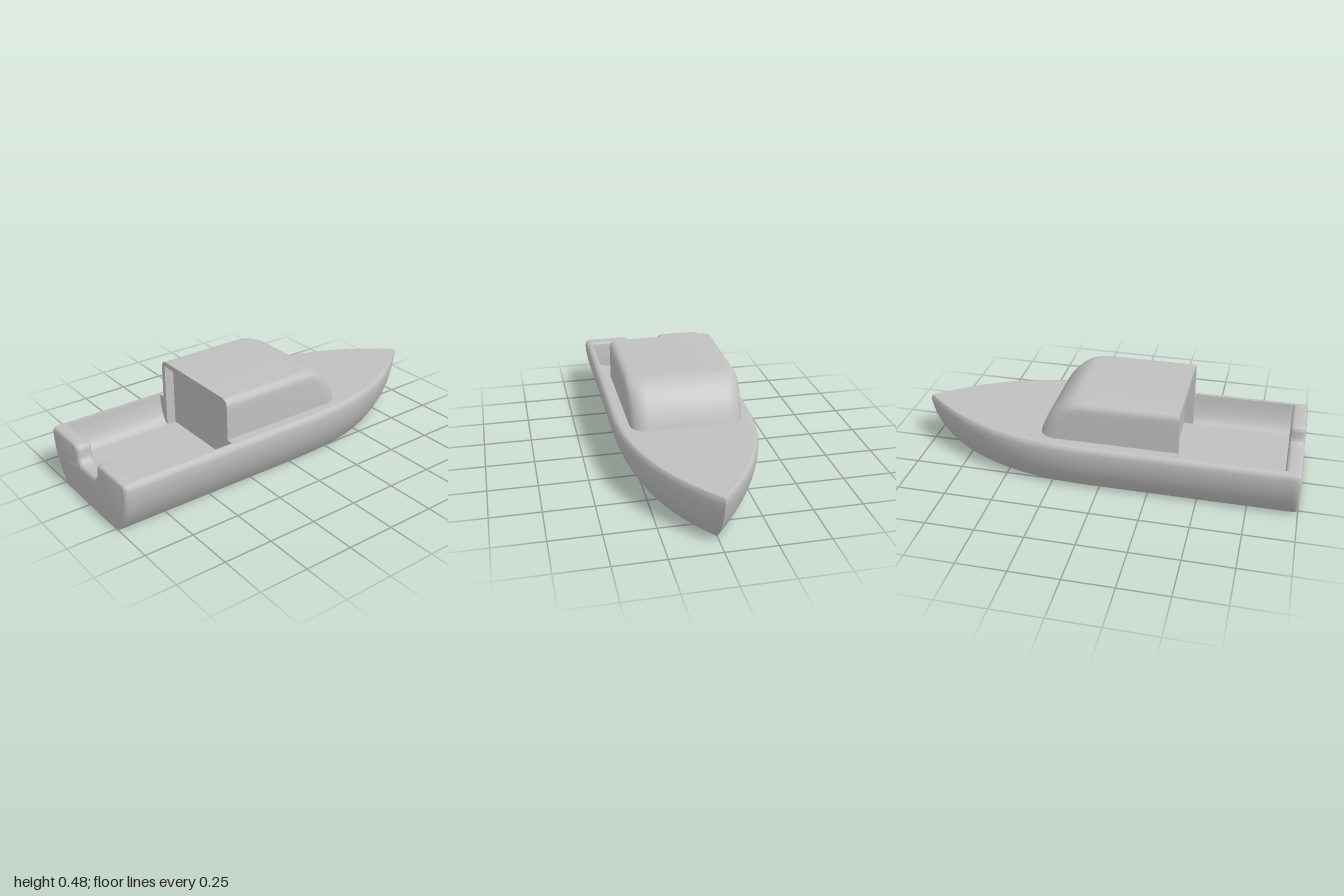
import * as THREE from 'three';
import { toCreasedNormals } from 'three/addons/utils/BufferGeometryUtils.js';

const grey = new THREE.MeshStandardMaterial({ color: 0xc0c0c0, side: THREE.DoubleSide });
grey.name = 'hullGrey';

// Hull levels: height, half width, distance of the stem from the centre
const LEVELS = [
  [0, 0.265, 0.87], [0.02, 0.28, 0.89], [0.05, 0.3, 0.915], [0.1, 0.327, 0.95],
  [0.15, 0.344, 0.975], [0.2, 0.353, 0.99], [0.24, 0.355, 1],
  [0.258, 0.351, 0.997], [0.268, 0.342, 0.992], [0.271, 0.33, 0.985],
];
const STERN = 0.97, FLOOR = 0.12, RIM = 0.32, DOOR = 0.26, BACK = 0.4, BULKHEAD = 0.35;

// Skin through rows of [x, y, z] points
function loft(rows) {
  const n = rows[0].length, index = [];
  for (let j = 0; j < rows.length - 1; j++) {
    for (let i = 0; i < n - 1; i++) {
      const a = j * n + i, b = a + 1, c = b + n, d = a + n;
      index.push(a, b, c, a, c, d);
    }
  }
  const g = new THREE.BufferGeometry();
  g.setAttribute('position', new THREE.Float32BufferAttribute(rows.flat(2), 3));
  g.setIndex(index);
  return toCreasedNormals(g, 0.6);
}

// Waterline from the left stern round the bow to the right stern
function waterline([y, w, l]) {
  const pts = [], n = 36;
  for (let i = -n; i <= n; i++) {
    const z = -l + (l + STERN) * Math.pow(Math.abs(i) / n, 1.3);
    const x = w * (1 - Math.pow(Math.max(0, -z / l), 2.6));
    pts.push([-Math.sign(i) * x, y, z]);
  }
  return pts;
}

// Cabin outline at one height, with round front corners
function cabinOutline([y, w, front]) {
  const pts = [[w, y, BACK]], r = 0.085;
  for (const side of [1, -1]) {
    for (let k = 0; k <= 8; k++) {
      const a = (side > 0 ? k : 8 - k) / 8 * Math.PI / 2;
      pts.push([side * (w - r + r * Math.cos(a)), y, front + r - r * Math.sin(a)]);
    }
  }
  pts.push([-w, y, BACK]);
  return pts;
}

// Row squeezed onto the centre line, closing a skin
const spine = (row) => row.map(([, y, z]) => [0, y, z]);

function shapeOf(points) {
  return new THREE.Shape(points.map(([x, y]) => new THREE.Vector2(x, y)));
}

export function createModel() {
  const boat = new THREE.Group();
  boat.name = 'boat';
  const add = (name, geometry) => {
    const m = new THREE.Mesh(geometry, grey);
    m.name = name;
    boat.add(m);
    return m;
  };

  // Hull with flat bottom and rounded gunwale
  const hullRows = LEVELS.map(waterline);
  add('hull', loft([spine(hullRows[0]), ...hullRows]));

  // Deck, open over the cockpit
  const top = hullRows[hullRows.length - 1];
  const opening = [[-RIM, STERN], [-RIM, BACK], [-DOOR, BACK], [-DOOR, BULKHEAD],
    [DOOR, BULKHEAD], [DOOR, BACK], [RIM, BACK], [RIM, STERN]];
  const deck = new THREE.ShapeGeometry(shapeOf(
    [...top.map(([x, , z]) => [x, -z]), ...opening.map(([x, z]) => [x, -z])]));
  deck.rotateX(-Math.PI / 2);
  add('deck', deck).position.y = 0.271;

  // Transom with a rounded notch and soft edges
  const b = 0.02;
  const side = LEVELS.slice(1).map(([y, w]) => [w, y]);
  const transom = shapeOf([[0.265, -b], ...side]);
  transom.lineTo(0.125, 0.271);
  transom.quadraticCurveTo(0.092, 0.271, 0.09, 0.236);
  transom.lineTo(0.088, 0.215);
  transom.quadraticCurveTo(0.082, 0.18, 0.05, 0.18);
  transom.lineTo(-0.05, 0.18);
  transom.quadraticCurveTo(-0.082, 0.18, -0.088, 0.215);
  transom.lineTo(-0.09, 0.236);
  transom.quadraticCurveTo(-0.092, 0.271, -0.125, 0.271);
  side.reverse().forEach(([x, y]) => transom.lineTo(-x, y));
  transom.lineTo(-0.265, -b);
  const transomGeo = new THREE.ExtrudeGeometry(transom, {
    depth: 0.04, bevelSize: b, bevelOffset: -b, bevelThickness: b, bevelSegments: 4, curveSegments: 8,
  });
  const p = transomGeo.attributes.position;
  for (let i = 0; i < p.count; i++) p.setY(i, Math.max(0, p.getY(i)));
  add('transom', toCreasedNormals(transomGeo, 0.6)).position.z = 0.94;

  // Cockpit floor and curved side walls
  const floor = new THREE.PlaneGeometry(0.58, 0.93 - BULKHEAD).rotateX(-Math.PI / 2);
  add('cockpitFloor', floor).position.set(0, FLOOR, (0.93 + BULKHEAD) / 2);
  const wall = [[0.255, 0.121], [0.272, 0.126], [0.287, 0.142], [0.302, 0.175], [0.314, 0.22], [RIM, 0.271]];
  for (const s of [1, -1]) {
    const ends = s > 0 ? [BACK, 0.935] : [0.935, BACK];
    add(s > 0 ? 'leftCockpitWall' : 'rightCockpitWall',
      loft(wall.map(([x, y]) => ends.map((z) => [s * x, y, z]))));
  }

  // Cabin shell: height, half width, front edge
  const cabinRows = [
    [0.26, 0.285, -0.315], [0.3, 0.285, -0.302], [0.35, 0.285, -0.28], [0.39, 0.285, -0.255],
    [0.42, 0.285, -0.23], [0.445, 0.285, -0.203], [0.462, 0.281, -0.18],
    [0.475, 0.27, -0.155], [0.481, 0.258, -0.135], [0.482, 0.247, -0.115],
  ].map(cabinOutline);
  add('cabin', loft([...cabinRows, spine(cabinRows[cabinRows.length - 1])]));

  // Rear frame of the cabin, reaching down to the cockpit floor
  const half = [[DOOR, FLOOR], [RIM, FLOOR], [RIM, 0.271], [0.285, 0.271], [0.285, 0.445],
    [0.281, 0.462], [0.27, 0.475], [0.247, 0.482]];
  const frame = shapeOf([...half, ...half.slice().reverse().map(([x, y]) => [-x, y]),
    [-DOOR, 0.455], [DOOR, 0.455]]);
  add('cabinFrame', new THREE.ShapeGeometry(frame)).position.z = BACK;

  // Recessed bulkhead curving into the ceiling
  const profile = [[BULKHEAD, FLOOR]];
  for (let k = 0; k <= 8; k++) {
    const a = k / 8 * Math.PI / 2;
    profile.push([BACK - 0.05 * Math.cos(a), 0.395 + 0.06 * Math.sin(a)]);
  }
  add('bulkhead', loft(profile.map(([z, y]) => [[-DOOR, y, z], [DOOR, y, z]])));
  for (const s of [1, -1]) {
    const cheek = new THREE.PlaneGeometry(BACK - BULKHEAD, 0.455 - FLOOR).rotateY(-s * Math.PI / 2);
    add(s > 0 ? 'leftDoorCheek' : 'rightDoorCheek', cheek)
      .position.set(s * DOOR, (0.455 + FLOOR) / 2, (BACK + BULKHEAD) / 2);
  }
  return boat;
}
